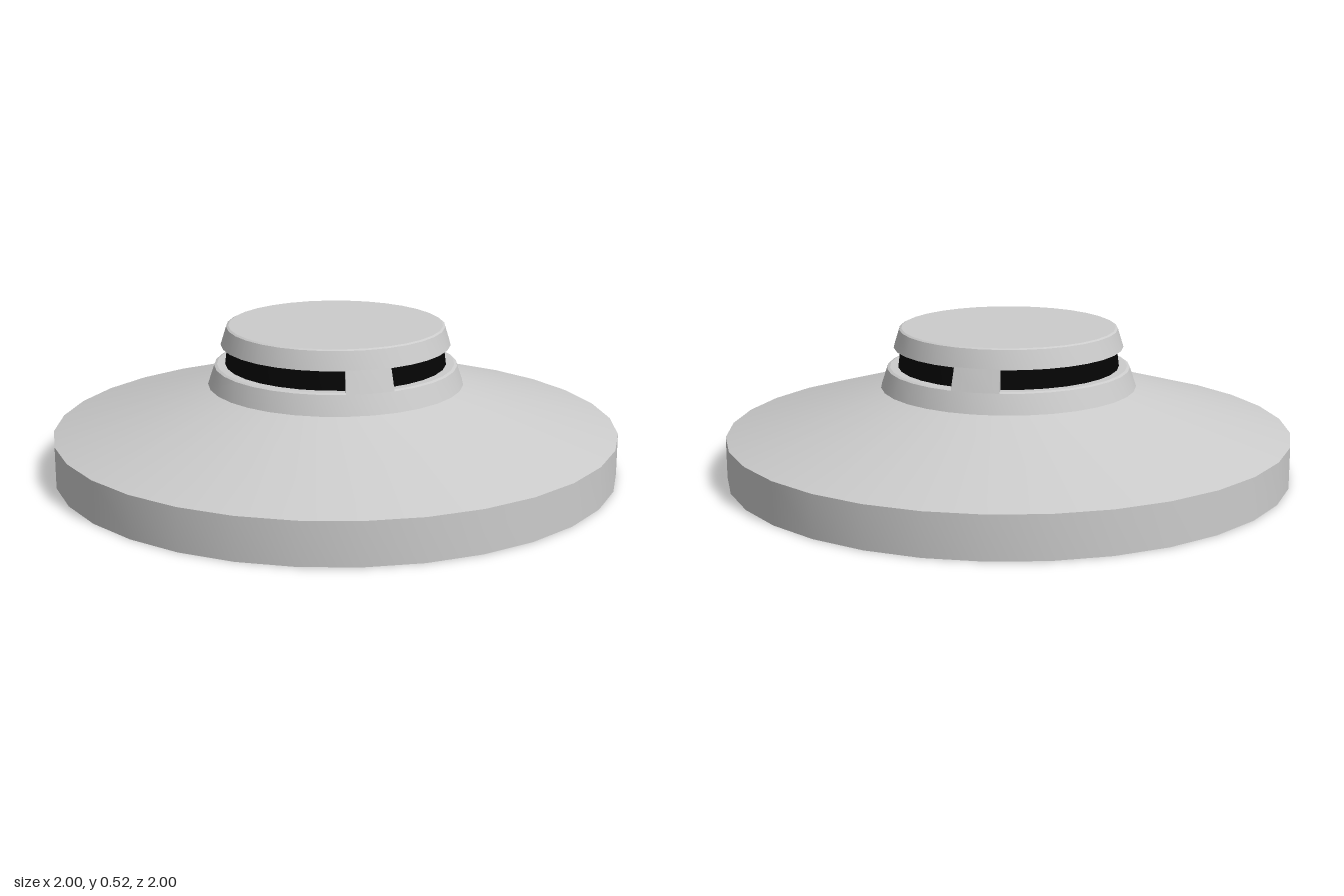
import * as THREE from 'three';
import { toCreasedNormals } from 'three/addons/utils/BufferGeometryUtils.js';

const SIDES = 32;
const STEP = (Math.PI * 2) / SIDES;

// Revolve [radius, height] pairs, listed from bottom to top, with sharp profile edges
function turned(name, points, material, start = 0, steps = SIDES) {
  const profile = points.map(([r, y]) => new THREE.Vector2(r, y));
  const geometry = new THREE.LatheGeometry(profile, steps, start, steps * STEP);
  const mesh = new THREE.Mesh(toCreasedNormals(geometry, 0.35), material);
  mesh.name = name;
  return mesh;
}

export function createModel() {
  const group = new THREE.Group();
  group.name = 'smokeDetector';
  const grey = new THREE.MeshStandardMaterial({ color: 0xcccccc });
  const greyThin = new THREE.MeshStandardMaterial({ color: 0xcccccc, side: THREE.DoubleSide });
  const black = new THREE.MeshStandardMaterial({ color: 0x050505 });

  // Wide base with sloping cover, raised collar and flat shelf under the slot
  group.add(turned('base', [
    [0, 0], [1, 0], [1, 0.148], [0.453, 0.31], [0.43, 0.378], [0.42, 0.382], [0.37, 0.382],
  ], grey));

  // Dark screen behind the slot
  group.add(turned('sensorScreen', [[0.392, 0.375], [0.382, 0.455]], black));

  // Cap above the slot
  group.add(turned('cap', [[0.36, 0.452], [0.406, 0.452], [0.386, 0.516], [0.378, 0.52], [0, 0.52]], grey));

  // Two pillars bridge the slot: one at the front left, one at the back
  const section = new THREE.Shape([
    new THREE.Vector2(0.375, 0.378), new THREE.Vector2(0.43, 0.378),
    new THREE.Vector2(0.406, 0.454), new THREE.Vector2(0.375, 0.454),
  ]);
  for (const first of [2, 15]) {
    const pillar = new THREE.Group();
    pillar.name = 'pillar';
    pillar.add(turned('pillarFace', [[0.43, 0.378], [0.406, 0.454]], greyThin, first * STEP, 2));
    for (const index of [first, first + 2]) {
      const side = new THREE.Mesh(new THREE.ShapeGeometry(section), greyThin);
      side.rotation.y = index * STEP - Math.PI / 2;
      side.name = 'pillarSide';
      pillar.add(side);
    }
    group.add(pillar);
  }
  return group;
}
